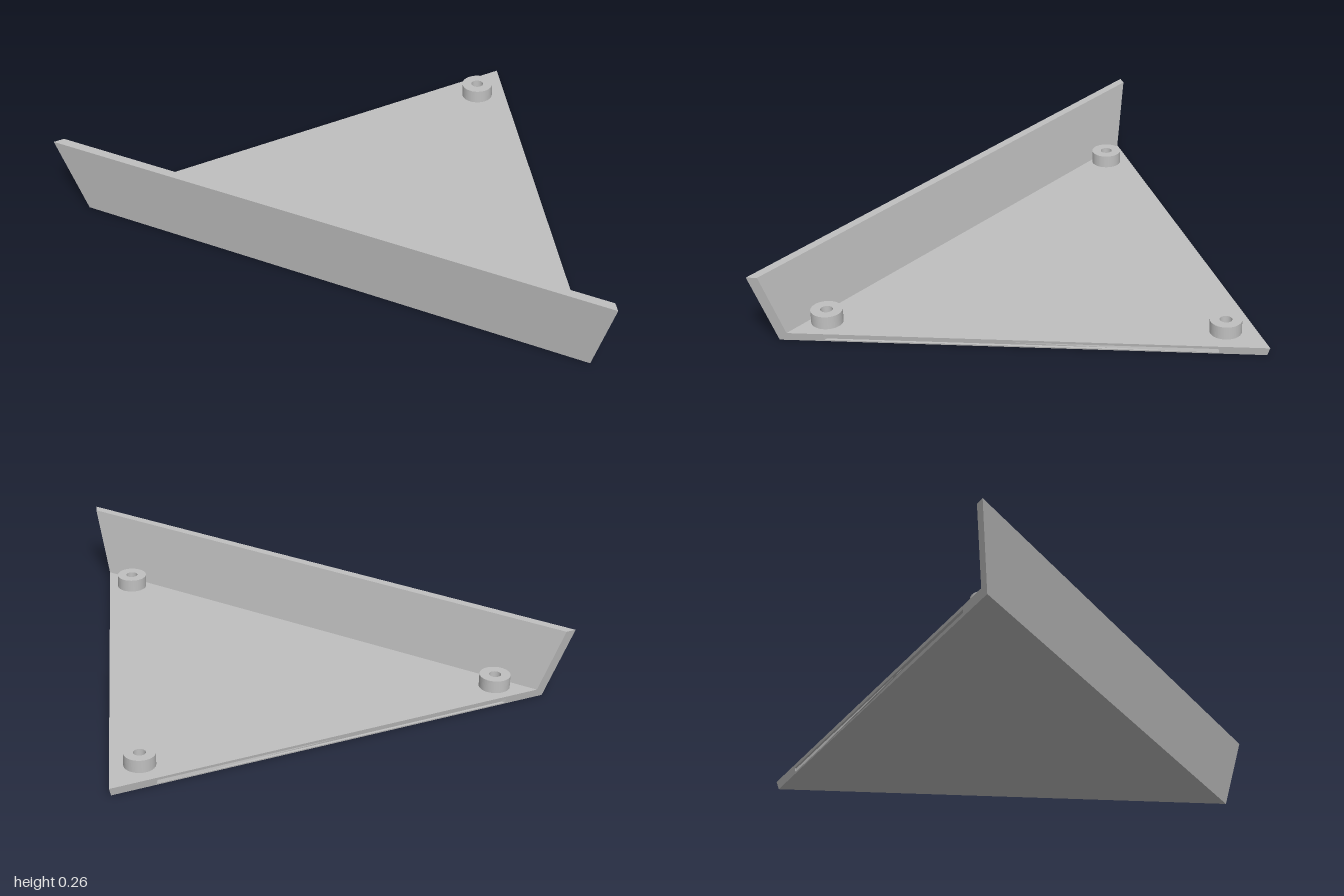
import * as THREE from 'three';

// Half width of the tray at a given depth and height: both sides lie on sloping planes
const halfWidth = (z, y) => Math.max(0, 0.683 * (z + 0.68 + 0.355 * y));
const SLOT_DEPTH = 0.012;
const coreWidth = (z, y) => Math.max(0, halfWidth(z, y) - SLOT_DEPTH);

// Side profile in (z, y): thin floor with a leaning front wall
function profile(withSlot) {
  const shape = new THREE.Shape([
    [-0.68, 0], [-0.64, 0], [0.655, 0], [0.69, 0.265],
    [0.66, 0.265], [0.63, 0.03], [-0.64, 0.03], [-0.69, 0.03],
  ].map(([z, y]) => new THREE.Vector2(z, y)));
  if (withSlot) {
    shape.holes.push(new THREE.Path([
      [-0.55, 0.005], [-0.55, 0.02], [0.53, 0.02], [0.53, 0.005],
    ].map(([z, y]) => new THREE.Vector2(z, y))));
  }
  return shape;
}

// Extrude the profile across x, fitting each end to a width rule
function slab(shape, leftEnd, rightEnd) {
  const geo = new THREE.ExtrudeGeometry(shape, { depth: 1, bevelEnabled: false });
  const p = geo.attributes.position;
  for (let i = 0; i < p.count; i++) {
    const z = p.getX(i), y = p.getY(i);
    p.setXYZ(i, p.getZ(i) < 0.5 ? leftEnd(z, y) : rightEnd(z, y), y, z);
  }
  geo.computeVertexNormals();
  return geo;
}

export function createModel() {
  const group = new THREE.Group();
  const grey = new THREE.MeshStandardMaterial({ color: 0xc0c0c0 });
  grey.name = 'light grey';

  const add = (name, geo, x = 0, y = 0, z = 0) => {
    const mesh = new THREE.Mesh(geo, grey);
    mesh.name = name;
    mesh.position.set(x, y, z);
    group.add(mesh);
  };

  // Triangular floor and front wall, with slotted skins along both sides
  add('floorAndFrontWall', slab(profile(false), coreWidth, (z, y) => -coreWidth(z, y)));
  add('leftSlottedEdge', slab(profile(true), halfWidth, coreWidth));
  add('rightSlottedEdge', slab(profile(true), (z, y) => -coreWidth(z, y), (z, y) => -halfWidth(z, y)));

  // Ring-shaped bosses in the three corners
  const ring = new THREE.Shape().absarc(0, 0, 0.054, 0, Math.PI * 2);
  ring.holes.push(new THREE.Path().absarc(0, 0, 0.021, 0, Math.PI * 2, true));
  const boss = new THREE.ExtrudeGeometry(ring, { depth: 0.047, bevelEnabled: false, curveSegments: 32 });
  boss.rotateX(-Math.PI / 2);
  add('leftBoss', boss, 0.763, 0.029, 0.578);
  add('rightBoss', boss, -0.763, 0.029, 0.578);
  add('backBoss', boss, 0, 0.029, -0.513);

  return group;
}
